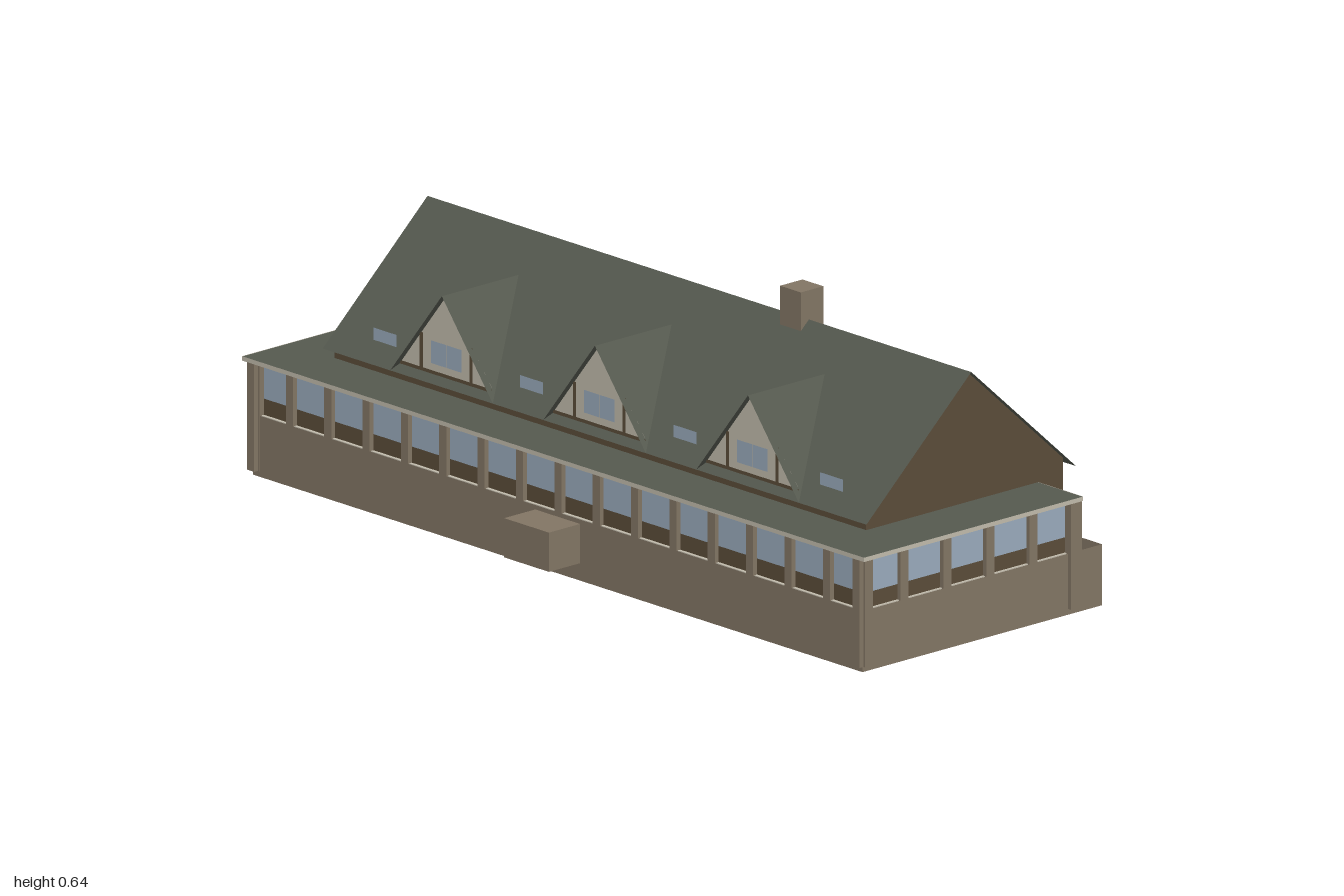
import * as THREE from 'three';

const mat = (name, color) => {
  const m = new THREE.MeshStandardMaterial({ color, side: THREE.DoubleSide });
  m.name = name;
  return m;
};

export function createModel() {
  const root = new THREE.Group();
  root.name = 'lodge';
  const roofGreen = mat('roofGreen', 0x55594f);
  const stone = mat('stoneBrown', 0x827564);
  const darkWood = mat('darkWood', 0x5a4c39);
  const glass = mat('glassBlue', 0x99aabb);
  const cream = mat('cream', 0xc0baab);

  // Box given by its lower and upper limits on each axis
  const box = (name, m, x0, x1, y0, y1, z0, z1, parent = root) => {
    const mesh = new THREE.Mesh(new THREE.BoxGeometry(x1 - x0, y1 - y0, z1 - z0), m);
    mesh.position.set((x0 + x1) / 2, (y0 + y1) / 2, (z0 + z1) / 2);
    mesh.name = name;
    parent.add(mesh);
  };
  // Flat convex sheet through the given corners
  const sheet = (name, m, pts, parent = root) => {
    const p = [];
    for (let i = 1; i < pts.length - 1; i++) p.push(...pts[0], ...pts[i], ...pts[i + 1]);
    const g = new THREE.BufferGeometry();
    g.setAttribute('position', new THREE.Float32BufferAttribute(p, 3));
    g.computeVertexNormals();
    const mesh = new THREE.Mesh(g, m);
    mesh.name = name;
    parent.add(mesh);
  };
  // Upright rectangles: one facing along z, one facing along x
  const zPlate = (name, m, x0, x1, y0, y1, z, parent) =>
    sheet(name, m, [[x0, y0, z], [x1, y0, z], [x1, y1, z], [x0, y1, z]], parent);
  const xPlate = (name, m, x, y0, y1, z0, z1, parent) => {
    const [a, b] = x > 0 ? [z1, z0] : [z0, z1];
    sheet(name, m, [[x, y0, a], [x, y0, b], [x, y1, b], [x, y1, a]], parent);
  };

  // Low outer wall, open below
  const front = 0.322, back = -0.393, side = 0.98, sill = 0.14;
  zPlate('frontLowWall', stone, -side, side, 0, sill, front);
  zPlate('backLowWall', stone, side, -side, 0, sill, back);
  for (const x of [-side, side]) xPlate('sideLowWall', stone, x, 0, sill, back, front);
  box('entranceBox', stone, -0.072, 0.072, 0.04, 0.13, front - 0.005, 0.415);

  // Porch posts and windows along the front, with a matching row of posts at the back
  const hx = 0.855, hz = 0.195, pitch = 0.1233, base = 0.013, top = 0.262;
  const porch = new THREE.Group();
  porch.name = 'porch';
  root.add(porch);
  for (let k = -7; k <= 7; k++) {
    const x = k * pitch;
    box('frontPost', stone, x - 0.0115, x + 0.0115, base, top, 0.298, 0.3215, porch);
    box('backPost', stone, x - 0.0115, x + 0.0115, base, top, -0.316, -0.292, porch);
  }
  for (let k = -8; k < 8; k++) {
    const x0 = k === -8 ? -0.958 : k * pitch + 0.0115;
    const x1 = k === 7 ? 0.958 : (k + 1) * pitch - 0.0115;
    zPlate('frontWindow', glass, x0, x1, 0.177, 0.252, 0.31, porch);
    zPlate('frontWindowPanel', darkWood, x0, x1, sill, 0.177, 0.31, porch);
    if (k === -8 || k === 7) zPlate('backEndWindow', glass, x1, x0, 0.177, 0.252, -0.307, porch);
  }

  // Side posts, side windows and doubled corner posts
  const zPosts = [0.311, 0.196, 0.068, -0.06, -0.189, -0.304];
  for (const s of [-1, 1]) {
    const sideBox = (name, m, a, b, ...r) =>
      box(name, m, Math.min(s * a, s * b), Math.max(s * a, s * b), ...r, porch);
    zPosts.forEach((z, i) => {
      const corner = i === 0 || i === 5;
      sideBox('sidePost', stone, 0.957, corner ? 0.989 : 0.9795, base, top, z - 0.012, z + 0.012);
      if (i === 5) return;
      const z0 = zPosts[i + 1] + 0.012, z1 = z - 0.012;
      xPlate('sideWindow', glass, s * 0.969, 0.175, 0.252, z0, z1, porch);
      xPlate('sideWindowPanel', darkWood, s * 0.969, sill, 0.175, z0, z1, porch);
    });
    sideBox('frontCornerPost', stone, 0.962, 0.984, base, top, 0.323, 0.335);
    sideBox('backCornerPost', stone, 0.962, 0.984, base, top, -0.329, -0.316);
    // Side porch floor and pale roof edge
    sideBox('sidePorchFloor', cream, hx, 0.975, sill - 0.003, sill, -0.316, hz);
    xPlate('sideFascia', cream, s, 0.26, 0.27, -0.318, 0.336, porch);
    zPlate('backFascia', cream, s > 0 ? 1 : -hx, s > 0 ? hx : -1, 0.26, 0.27, -0.318, porch);
  }
  // One flat slab forms the porch roof and the ceiling inside the house
  box('porchRoof', roofGreen, -0.999, 0.999, 0.261, 0.2695, -0.317, 0.335, porch);
  box('frontPorchFloor', cream, -0.975, 0.975, sill - 0.003, sill, hz, 0.318, porch);
  zPlate('frontFascia', cream, -1, 1, 0.26, 0.27, 0.336, porch);

  // House walls and gable ends, reaching up to the roof slopes
  const rx = 0.874, reach = 0.313, eaveY = 0.29, ridgeZ = -0.101, ridgeY = 0.573;
  const roofY = z => ridgeY - Math.abs(z - ridgeZ) * (ridgeY - eaveY) / reach;
  zPlate('frontWall', darkWood, -hx, hx, sill, roofY(hz), hz);
  zPlate('backWall', darkWood, hx, -hx, sill, roofY(back), back);
  for (const x of [-hx, hx]) {
    const [a, b] = x > 0 ? [hz, back] : [back, hz];
    sheet('gableWall', darkWood, [[x, sill, a], [x, sill, b], [x, roofY(b), b],
      [x, ridgeY, ridgeZ], [x, roofY(a), a]]);
  }

  // Main roof, two thin slopes
  for (const s of [1, -1]) {
    const z = ridgeZ + s * reach;
    sheet('roofSlope', roofGreen, [[-s * rx, eaveY, z], [s * rx, eaveY, z],
      [s * rx, ridgeY, ridgeZ], [-s * rx, ridgeY, ridgeZ]]);
  }

  box('chimney', stone, 0.285, 0.352, 0, 0.64, -0.144, -0.077);

  // Three pointed dormers with recessed pale fronts
  for (const cx of [-0.492, 0, 0.492]) {
    const d = new THREE.Group();
    d.name = 'dormer';
    d.position.x = cx;
    root.add(d);
    const apex = [0, 0.498, 0.211], rear = [0, 0.498, -0.018];
    sheet('dormerRoofLeft', roofGreen, [apex, [0.165, eaveY, 0.212], rear], d);
    sheet('dormerRoofRight', roofGreen, [apex, rear, [-0.165, eaveY, 0.212]], d);
    sheet('dormerFront', cream, [[-0.152, 0.307, 0.195], [0.152, 0.307, 0.195], [0, 0.497, 0.195]], d);
    zPlate('dormerSill', darkWood, -0.148, 0.148, 0.307, 0.315, 0.198, d);
    for (const s of [-1, 1]) {
      zPlate('dormerPost', darkWood, s * 0.08 - 0.005, s * 0.08 + 0.005, 0.312, 0.395, 0.198, d);
      zPlate('dormerWindow', glass, s * 0.025 - 0.024, s * 0.025 + 0.024, 0.331, 0.383, 0.198, d);
    }
  }

  // Small upright roof windows between the dormers
  for (const x of [-0.718, -0.247, 0.247, 0.718])
    zPlate('roofWindow', glass, x - 0.037, x + 0.037, 0.329, 0.357, 0.171);

  return root;
}
